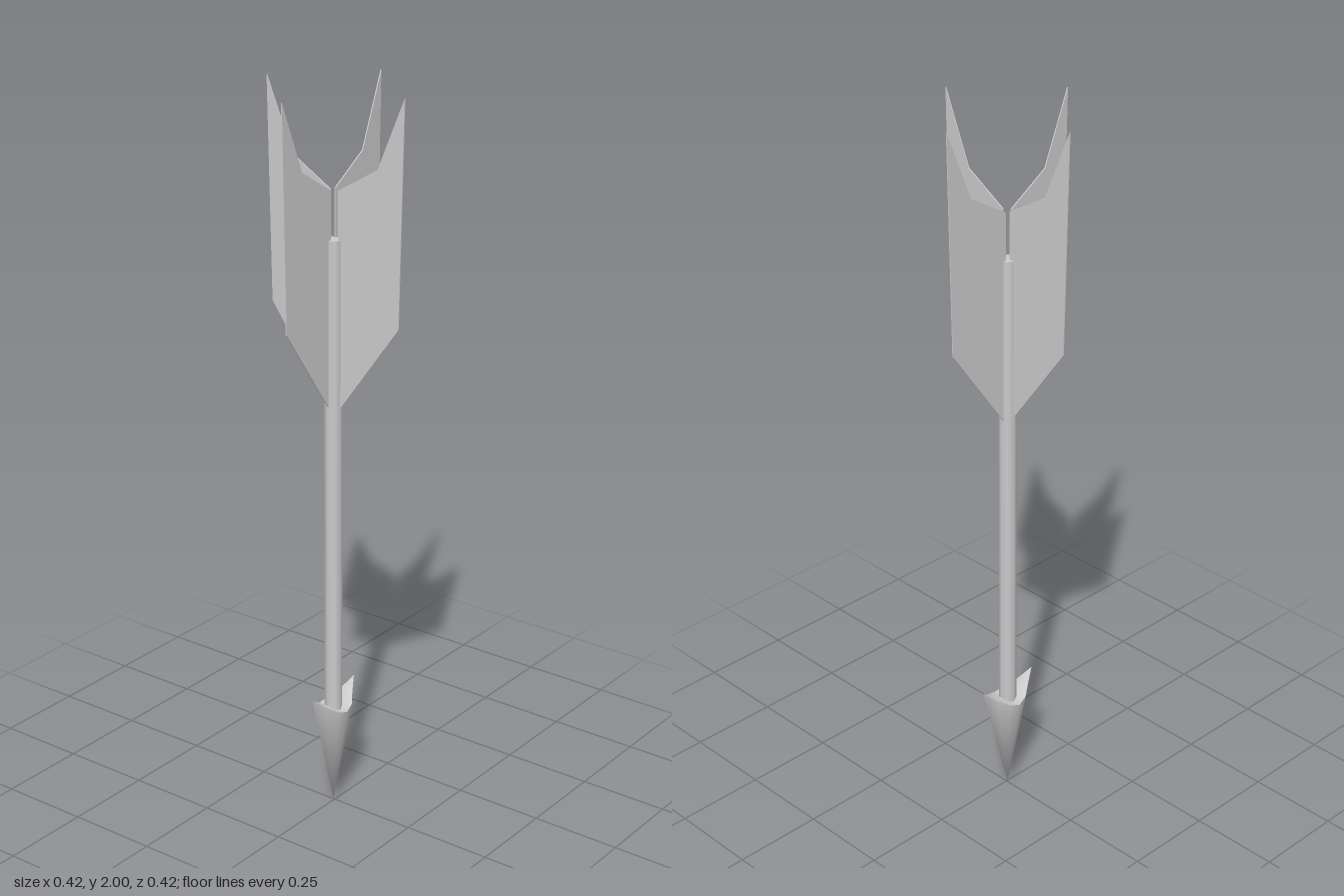
import * as THREE from 'three';

const AXIS_X = -0.004; // the shaft sits slightly off centre

const material = (extra = {}) => new THREE.MeshStandardMaterial({ color: 0xcccccc, ...extra });

function add(group, name, geometry, mat = material()) {
  const mesh = new THREE.Mesh(geometry, mat);
  mesh.name = name;
  group.add(mesh);
  return mesh;
}

// Fan of triangles joining a closed ring to one apex
function fan(ring, apex, flip) {
  const points = [...ring, apex];
  const n = ring.length;
  const index = [];
  for (let i = 0; i < n; i++) {
    const j = (i + 1) % n;
    index.push(...(flip ? [j, i, n] : [i, j, n]));
  }
  const geometry = new THREE.BufferGeometry().setFromPoints(points);
  geometry.setIndex(index);
  geometry.computeVertexNormals();
  return geometry;
}

// Rim of the arrowhead: one quarter (x, y, z), mirrored to all four
function headRim() {
  const quarter = [[0, 0.345, 0.093], [0.02, 0.314, 0.059], [0.04, 0.295, 0.03], [0.046, 0.285, 0]];
  const half = [...quarter, ...quarter.slice(0, 3).reverse().map(([x, y, z]) => [x, y, -z])];
  const rim = [...half, ...half.slice(1, -1).reverse().map(([x, y, z]) => [-x, y, z])];
  return rim.map((p) => new THREE.Vector3(...p));
}

// Thin vane, lying in the xy plane and reaching out along +x
function vaneGeometry() {
  const outline = [[0.012, 1.15], [0.2, 1.41], [0.212, 2.0], [0.132, 1.81], [0.012, 1.738]];
  const shape = new THREE.Shape(outline.map(([x, y]) => new THREE.Vector2(x, y)));
  const depth = 0.003;
  return new THREE.ExtrudeGeometry(shape, { depth, bevelEnabled: false }).translate(0, 0, -depth / 2);
}

export function createModel() {
  const arrow = new THREE.Group();
  arrow.name = 'arrow';

  // Shaft
  const shaft = add(arrow, 'shaft', new THREE.CylinderGeometry(0.024, 0.024, 1.33, 8));
  shaft.position.set(AXIS_X, 0.945, 0);

  // Barbed head: smooth sides and a hollowed top
  const head = new THREE.Group();
  head.name = 'arrowhead';
  head.position.x = AXIS_X;
  const rim = headRim();
  add(head, 'headSides', fan(rim, new THREE.Vector3(0, 0, 0), true));
  add(head, 'headTop', fan(rim, new THREE.Vector3(0, 0.285, 0), false));
  arrow.add(head);

  // Four vanes, the front and back ones slightly turned
  const vanes = [
    ['leftVane', 0, 0],
    ['rightVane', Math.PI, 0],
    ['frontVane', -Math.PI / 2 + 0.027, AXIS_X],
    ['backVane', Math.PI / 2 + 0.03, AXIS_X - 0.004],
  ];
  const vane = vaneGeometry();
  for (const [name, turn, x] of vanes) {
    const mesh = add(arrow, name, vane, material({ flatShading: true }));
    mesh.rotation.y = turn;
    mesh.position.x = x;
  }
  return arrow;
}
